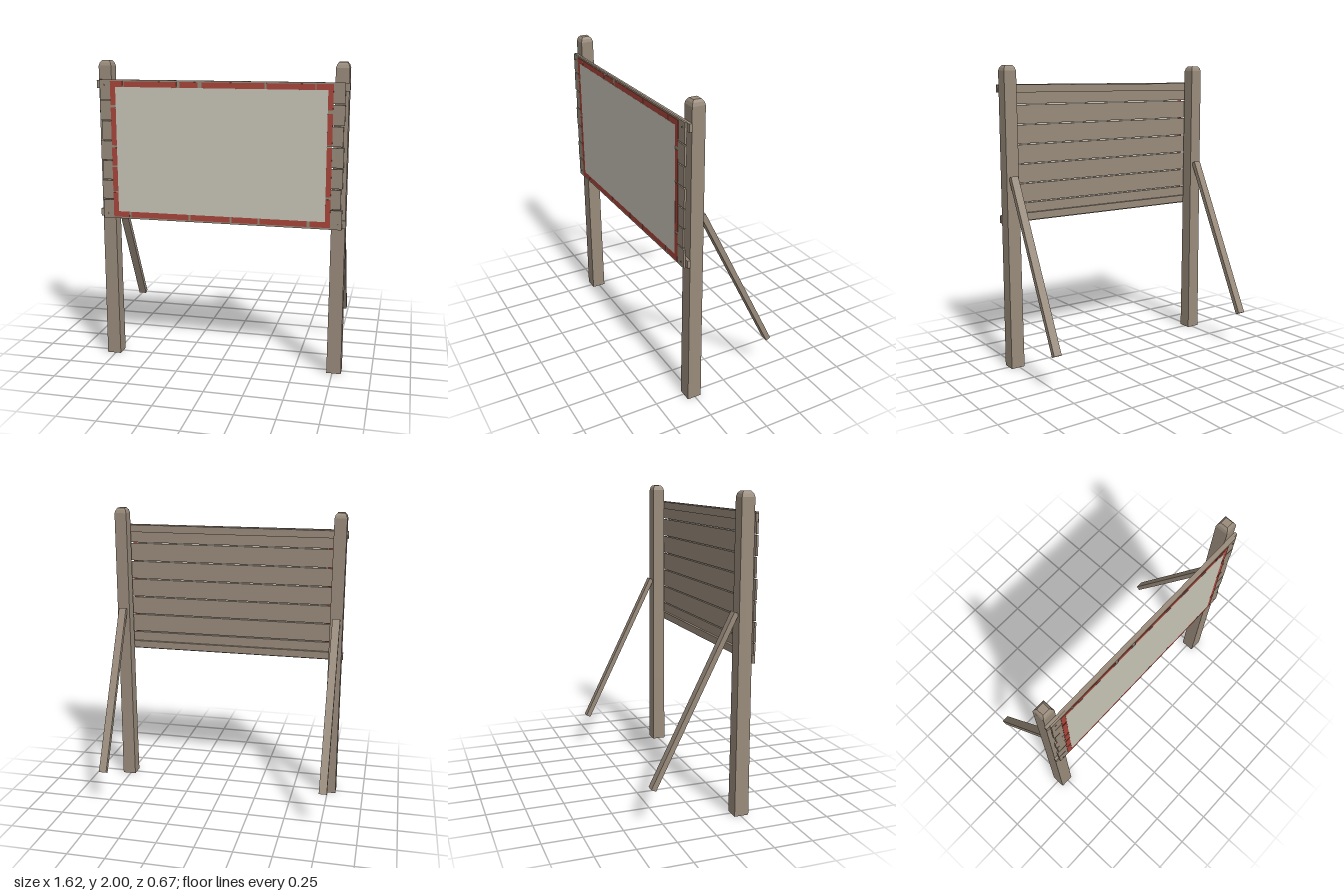
import * as THREE from 'three';

const mat = (name, color) => Object.assign(new THREE.MeshStandardMaterial({ color }), { name });

export function createModel() {
  const wood = mat('weathered wood', 0x998b7b);
  const red = mat('faded red', 0xa8453a);
  const paper = mat('cream panel', 0xc8c4b6);
  const model = new THREE.Group();
  model.name = 'noticeBoard';

  const add = (name, geometry, material, x, y, z) => {
    const mesh = new THREE.Mesh(geometry, material);
    mesh.name = name;
    mesh.position.set(x, y, z);
    model.add(mesh);
    return mesh;
  };
  // Box given by its limits in x, y and z
  const slab = (name, material, x0, x1, y0, y1, z0, z1) =>
    add(name, new THREE.BoxGeometry(x1 - x0, y1 - y0, z1 - z0), material,
      (x0 + x1) / 2, (y0 + y1) / 2, (z0 + z1) / 2);

  // Tapered square posts with bevelled caps: [half width, height]
  const profile = [[0, 0], [0.047, 0], [0.045, 0.5], [0.042, 1.965], [0.036, 1.985], [0.024, 2], [0, 2]]
    .map(([half, y]) => new THREE.Vector2(half * Math.SQRT2, y));
  const postShape = new THREE.LatheGeometry(profile, 4, Math.PI / 4).toNonIndexed();
  postShape.computeVertexNormals();

  // Slanting rear braces
  const top = new THREE.Vector2(0.203, 1.29), foot = new THREE.Vector2(-0.32, 0.242);
  const braceLength = top.distanceTo(foot);

  for (const [side, label] of [[1, 'left'], [-1, 'right']]) {
    add(label + 'Post', postShape, wood, side * 0.76, 0, 0.255);
    const brace = add(label + 'Brace', new THREE.BoxGeometry(0.052, braceLength, 0.033), wood,
      side * 0.76, (top.y + foot.y) / 2, (top.x + foot.x) / 2);
    brace.rotation.x = Math.atan2(top.x - foot.x, top.y - foot.y);
    // Bolts through the rails
    for (const y of [1.005, 1.845]) {
      const bolt = add(label + 'Bolt', new THREE.CylinderGeometry(0.005, 0.005, 0.006, 8), wood, side * 0.757, y, 0.333);
      bolt.rotation.x = Math.PI / 2;
    }
  }

  // Horizontal rails, very slightly tilted
  for (const [y, tilt] of [[1.005, 0], [1.85, 0.002]]) {
    const rail = slab('rail', wood, -0.81, 0.81, y - 0.025, y + 0.025, 0.299, 0.318);
    rail.rotation.z = tilt;
  }

  // Seven planks with uneven ends: [left end, right end]
  const ends = [[-0.786, 0.785], [-0.79, 0.775], [-0.782, 0.783], [-0.79, 0.785], [-0.778, 0.778], [-0.788, 0.785], [-0.786, 0.783]];
  const pitch = 0.13;
  ends.forEach(([x0, x1], i) => {
    const y0 = 0.972 + i * pitch;
    slab('plank', wood, x0, x1, y0, y0 + (i === 6 ? 0.128 : 0.123), 0.318, 0.331);
  });

  // Notice panel
  const zFace = 0.331;
  slab('noticePanel', paper, -0.68, 0.68, 1.02, 1.834, zFace, 0.334);

  // Broken red border; gaps are [centre, width]
  const strips = (from, to, gaps, build) => {
    let start = from;
    for (const [centre, width] of [...gaps, [to, 0]]) {
      build(start, centre - width / 2);
      start = centre + width / 2;
    }
  };
  const across = (y0, y1) => (a, b) => slab('borderStrip', red, a, b, y0, y1, zFace, 0.3335);
  const upright = (x0, x1) => (a, b) => slab('borderStrip', red, x0, x1, a, b, zFace, 0.3335);
  strips(-0.715, 0.712, [[-0.627, 0.008], [-0.262, 0.02], [-0.122, 0.025], [0.296, 0.014], [0.605, 0.008]], across(1.834, 1.87));
  strips(-0.715, 0.712, [[-0.6, 0.014], [-0.196, 0.012], [0.078, 0.014], [0.26, 0.012], [0.575, 0.02]], across(0.983, 1.02));
  strips(1.02, 1.834, [[1.15, 0.008], [1.32, 0.01], [1.45, 0.016], [1.71, 0.018]], upright(-0.715, -0.68));
  strips(1.02, 1.834, [[1.17, 0.014], [1.495, 0.012], [1.702, 0.02]], upright(0.68, 0.712));

  return model;
}
